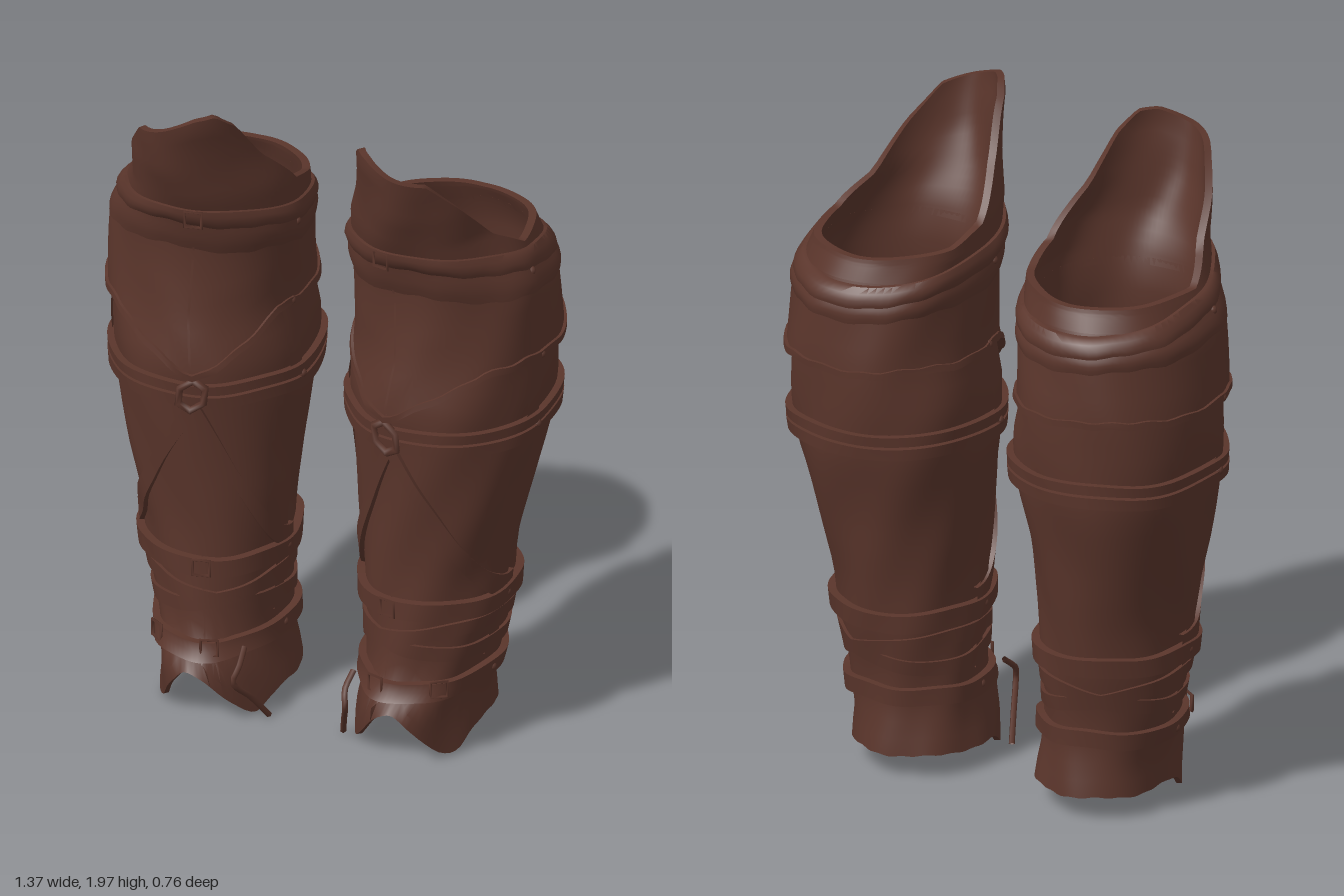
import * as THREE from 'three';
import { toCreasedNormals } from 'three/addons/utils/BufferGeometryUtils.js';

const PI = Math.PI;
const leather = new THREE.MeshStandardMaterial({ color: 0x5a352b, side: THREE.DoubleSide });
leather.name = 'dark brown leather';

// Leg cross-sections: height, inner x, outer x, back z, front z
const SECTIONS = [
  [0.00, 0.10, 0.50, -0.22, 0.26],
  [0.10, 0.115, 0.49, -0.22, 0.29],
  [0.18, 0.135, 0.485, -0.205, 0.30],
  [0.24, 0.14, 0.50, -0.20, 0.25],
  [0.32, 0.14, 0.515, -0.205, 0.235],
  [0.45, 0.135, 0.54, -0.23, 0.235],
  [0.60, 0.13, 0.555, -0.245, 0.24],
  [0.80, 0.115, 0.60, -0.28, 0.255],
  [1.00, 0.09, 0.64, -0.33, 0.27],
  [1.15, 0.085, 0.655, -0.345, 0.285],
  [1.30, 0.115, 0.655, -0.35, 0.255],
  [1.50, 0.11, 0.64, -0.325, 0.245],
  [1.60, 0.105, 0.605, -0.28, 0.27],
  [1.70, 0.115, 0.565, -0.25, 0.315],
  [1.80, 0.14, 0.555, -0.24, 0.35],
  [1.90, 0.145, 0.55, -0.20, 0.37],
  [1.95, 0.145, 0.54, -0.20, 0.38],
  [2.00, 0.155, 0.52, -0.20, 0.375],
];

// Knee guard edge: angle, height
const CREST = [[-PI, 1.61], [-2.0, 1.63], [-1.57, 1.67], [-1.15, 1.81], [-0.9, 1.93], [-0.65, 1.985],
  [-0.4, 1.985], [0, 1.955], [0.5, 1.92], [0.85, 1.82], [1.2, 1.69], [1.57, 1.62], [PI, 1.61]];

// Linear look-up in a table whose rows start with the key
function lookUp(table, key) {
  let i = 0;
  while (i < table.length - 2 && key > table[i + 1][0]) i++;
  const p = table[i], q = table[i + 1];
  const t = THREE.MathUtils.clamp((key - p[0]) / (q[0] - p[0]), 0, 1);
  return p.map((v, k) => v + (q[k] - v) * t);
}

// Point on the leg: angle 0 faces front, positive angles go to the outer side
function legPoint(a, y, off) {
  const [, xi, xo, zb, zf] = lookUp(SECTIONS, y);
  const s = Math.sin(a), c = Math.cos(a);
  const rx = (xo - xi) / 2 + off, rz = (c > 0 ? zf : -zb) + off;
  const wave = 0.004 * Math.sin(3 * a + 7 * y) + 0.003 * Math.sin(7 * a - 13 * y);
  // The calf is squarer at the back, the ankle is oval
  const power = c > 0 ? 1 : THREE.MathUtils.lerp(1, 0.88, THREE.MathUtils.smoothstep(y, 0.3, 1.2));
  const pw = (v) => Math.sign(v) * Math.pow(Math.abs(v), power);
  return [(xi + xo) / 2 + (rx + wave) * pw(s), y, (rz + wave) * pw(c)];
}

const tatter = (a) => 0.005 * Math.sin(5 * a + 1) + 0.003 * Math.sin(17 * a);
const bump = (a, w) => Math.exp(-((a / w) ** 2));

// Leather layer wrapped on the leg between two edge curves, with real thickness
function wrap(name, lo, hi, { outer = 0.02, inner = -0.01, from = -PI, to = PI, rows = 2, cols = 80, bulge = 0 } = {}) {
  const closed = to - from > 2 * PI - 0.001;
  const profile = [];
  for (let r = 0; r <= rows; r++) profile.push([r / rows, outer + bulge * Math.sin(PI * r / rows)]);
  for (let r = rows; r >= 0; r--) profile.push([r / rows, inner]);
  const n = profile.length, verts = [], index = [];
  for (let i = 0; i <= cols; i++) {
    const a = from + (to - from) * i / cols, y0 = lo(a), y1 = hi(a);
    for (const [t, off] of profile) verts.push(...legPoint(a, y0 + (y1 - y0) * t, off));
  }
  for (let i = 0; i < cols; i++) {
    const p = i * n, q = (closed ? (i + 1) % cols : i + 1) * n;
    for (let r = 0; r < n; r++) {
      const s = (r + 1) % n;
      index.push(p + r, q + r, q + s, p + r, q + s, p + s);
    }
  }
  const g = new THREE.BufferGeometry();
  g.setAttribute('position', new THREE.Float32BufferAttribute(verts, 3));
  g.setIndex(index);
  const mesh = new THREE.Mesh(toCreasedNormals(g, 0.9), leather);
  mesh.name = name;
  return mesh;
}

// Small part placed on the leg surface, facing outwards
function attach(name, geometry, a, y, off, roll = 0) {
  const mesh = new THREE.Mesh(geometry, leather);
  mesh.name = name;
  mesh.position.set(...legPoint(a, y, off));
  mesh.rotation.set(0, a, roll, 'YXZ');
  return mesh;
}

function createGreave() {
  const leg = new THREE.Group();
  const middle = -0.22; // angle of the front centre line

  // Main shell with arched ankle opening and low side tips
  const hem = (a) => 0.082 + 0.09 * bump(a, 0.45) - 0.06 * bump(Math.abs(a) - 0.85, 0.33) + 0.6 * tatter(a);
  leg.add(wrap('shell', hem, () => 1.57, { outer: 0, inner: -0.016, rows: 30 }));

  // Raised knee guard, highest towards the inner front
  const crest = (a) => lookUp(CREST, a)[1];
  leg.add(wrap('kneeGuard', () => 1.55, crest, { outer: 0.006, inner: -0.016, rows: 14, cols: 100 }));

  // Rolled collar below the knee and the roll behind it
  const collar = (a) => 1.575 + 0.065 * Math.cos(a);
  leg.add(wrap('collar', (a) => collar(a) - 0.035 + tatter(a), (a) => collar(a) + 0.03,
    { outer: 0.016, rows: 4, bulge: 0.01 }));
  leg.add(wrap('backRoll', (a) => 1.48 + 0.04 * Math.cos(a) + tatter(a), (a) => collar(a) - 0.02,
    { outer: 0.018, rows: 4, bulge: 0.006 }));

  // Upper plate ending in a point at the front
  const point = (a) => 1.28 - 0.17 * Math.max(0, 1 - Math.abs(a - middle) / 0.95) + tatter(a);
  leg.add(wrap('upperPlate', point, () => 1.53, { outer: 0.016, rows: 6 }));
  leg.add(wrap('upperPlateHem', point, (a) => point(a) + 0.02, { outer: 0.024 }));

  // Horizontal belts
  for (const [y, h, off, tilt] of [[1.085, 0.03, 0.02, 0], [1.045, 0.035, 0.022, 0], [0.495, 0.055, 0.024, 0], [0.25, 0.05, 0.022, -0.012]]) {
    const mid = (a) => y + tilt * Math.cos(a) + 0.003 * Math.sin(5 * a);
    leg.add(wrap('belt', (a) => mid(a) - h / 2, (a) => mid(a) + h / 2, { outer: off }));
  }

  // Slanted ankle wraps
  for (const s of [1, -1]) {
    const mid = (a) => 0.385 + s * 0.045 * Math.sin(a + 0.4);
    leg.add(wrap('ankleWrap', (a) => mid(a) - 0.022, (a) => mid(a) + 0.022, { outer: 0.01 }));
  }

  // Crossed straps running from the ring, round the sides and down
  for (const s of [1, -1]) {
    const end = s * 1.6;
    const mid = (a) => 1.02 - 0.5 * Math.sin((a - middle) / (end - middle) * PI / 2);
    leg.add(wrap('diagonalStrap', (a) => mid(a) - 0.035, (a) => mid(a) + 0.035,
      { outer: 0.014, from: Math.min(middle, end), to: Math.max(middle, end), cols: 24 }));
  }

  // Vertical seams: front centre line, and overlapping panels on both sides
  for (const [a, y0, y1, w, off] of [[middle, 0.2, 1.0, 0.012, 0.004], [middle, 1.14, 1.6, 0.012, 0.019],
    [1.4, 0.3, 1.28, 0.1, 0.006], [-1.4, 0.3, 1.28, 0.1, 0.006]])
    leg.add(wrap('seam', () => y0, () => y1, { outer: off, from: a - w, to: a + w, rows: 20, cols: 4 }));

  // Front ring where the straps meet
  const ring = attach('strapRing', new THREE.TorusGeometry(0.04, 0.011, 6, 6), middle, 1.065, 0.022, PI / 6);
  ring.scale.y = 1.25;
  leg.add(ring);

  // Buckles and knots
  const frame = new THREE.TorusGeometry(0.034, 0.006, 4, 4);
  const knot = new THREE.SphereGeometry(0.014, 8, 6);
  for (const [a, y] of [[middle, 0.495], [-0.3, 0.25], [0.6, 0.25], [middle, 1.64]])
    leg.add(attach('buckle', frame, a, y, 0.026, PI / 4));
  for (const s of [1, -1])
    for (const y of [0.25, 0.5, 1.065, 1.29, 1.55]) leg.add(attach('knot', knot, s * 1.45, y, 0.014));

  // Loose thong hanging at the inner ankle
  const thong = new THREE.CatmullRomCurve3([[0.17, 0.25, 0.22], [0.165, 0.21, 0.27], [0.175, 0.17, 0.29], [0.145, 0.1, 0.23], [0.115, 0.02, 0.17]]
    .map((p) => new THREE.Vector3(...p)));
  const thongMesh = new THREE.Mesh(new THREE.TubeGeometry(thong, 16, 0.009, 5), leather);
  thongMesh.name = 'looseThong';
  leg.add(thongMesh);
  return leg;
}

export function createModel() {
  const model = new THREE.Group();
  model.name = 'leatherGreaves';
  const left = createGreave();
  left.name = 'leftGreave';
  const right = createGreave();
  right.name = 'rightGreave';
  right.scale.x = -1;
  model.add(left, right);
  return model;
}
